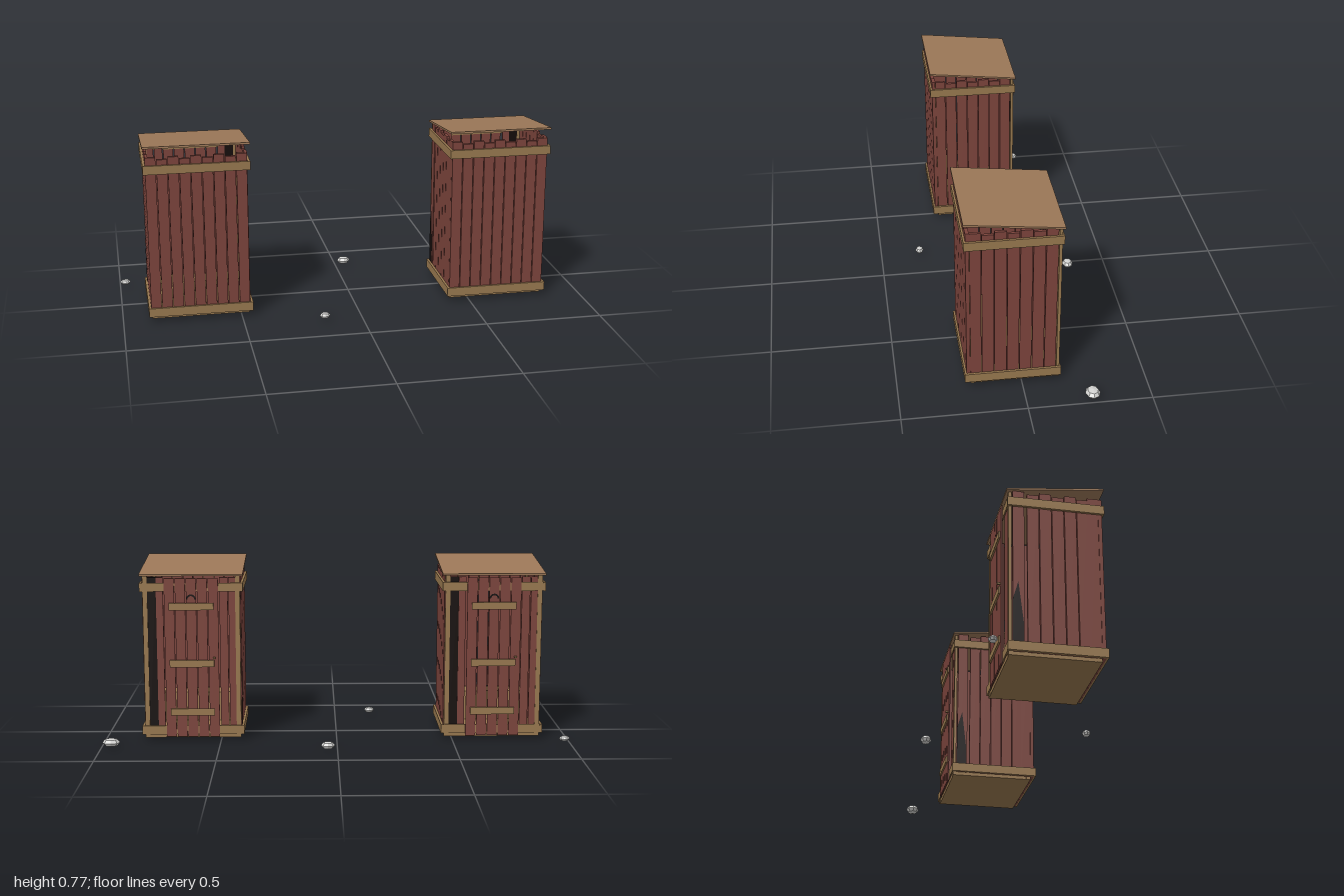
import * as THREE from 'three';

const mat = (name, color) => {
  const m = new THREE.MeshStandardMaterial({ color });
  m.name = name;
  return m;
};

export function createModel() {
  const red = mat('red boards', 0x7c443c);
  const tan = mat('tan trim', 0x98784f);
  const roofMat = mat('roof wood', 0x9c7858);
  const dark = mat('dark interior', 0x140c0a);
  const stone = mat('pale stone', 0xd2d2d0);
  const model = new THREE.Group();
  model.name = 'shedsAndStones';

  // Box given by its min and max corners
  const block = (parent, name, m, x0, x1, y0, y1, z0, z1) => {
    const mesh = new THREE.Mesh(new THREE.BoxGeometry(x1 - x0, y1 - y0, z1 - z0), m);
    mesh.position.set((x0 + x1) / 2, (y0 + y1) / 2, (z0 + z1) / 2);
    mesh.name = name;
    parent.add(mesh);
    return mesh;
  };

  function shed(cx) {
    const g = new THREE.Group();
    g.name = 'shed';
    g.position.x = cx;
    model.add(g);

    block(g, 'floor', tan, -0.205, 0.205, 0.012, 0.03, -0.15, 0.207);

    // Corner posts
    for (const s of [-1, 1]) {
      const x0 = s < 0 ? -0.207 : 0.187, x1 = x0 + 0.02;
      block(g, 'frontPost', tan, x0, x1, 0.012, 0.71, 0.187, 0.206);
      block(g, 'backPost', tan, x0, x1, 0.012, 0.715, -0.152, -0.14);
    }

    // Front boards with narrow gaps
    for (let i = 0; i < 9; i++) {
      const x = -0.21 + i * 0.0467;
      block(g, 'frontBoard', red, x, x + 0.0435, 0.027, i % 2 ? 0.71 : 0.72, 0.207, 0.222);
    }

    // Side boards with alternating heights
    const edges = [0.206, 0.16, 0.11, 0.06, 0.01, -0.04, -0.09, -0.139];
    for (const s of [-1, 1]) {
      for (let i = 0; i < 7; i++) {
        const x0 = s < 0 ? -0.21 : 0.198;
        const shift = s < 0 && i > 0 && i < 6 ? 0.008 : 0;
        block(g, 'sideBoard', red, x0, x0 + 0.012, 0.027, i % 2 ? 0.71 : 0.72,
          edges[i + 1] + 0.003 + shift, edges[i] + shift);
      }
    }

    // Trim bands around top and bottom
    for (const [y0, y1] of [[0.027, 0.065], [0.65, 0.687]]) {
      block(g, 'frontBand', tan, -0.22, 0.22, y0, y1, 0.222, 0.23);
      block(g, 'backBand', tan, -0.215, 0.215, y0, y1, -0.157, -0.152);
      for (const s of [-1, 1]) {
        const x0 = s < 0 ? -0.22 : 0.21;
        block(g, 'sideBand', tan, x0, x0 + 0.01, y0, y1, -0.158, 0.23);
      }
    }

    // Back wall beside the door: boards and shadowed openings
    block(g, 'backBoard', red, 0.12, 0.15, 0.03, 0.71, -0.15, -0.14);
    block(g, 'backOpening', dark, 0.15, 0.187, 0.03, 0.71, -0.147, -0.141);
    block(g, 'backBoard', red, -0.155, -0.12, 0.03, 0.71, -0.15, -0.14);
    block(g, 'backBoard', red, -0.187, -0.159, 0.03, 0.71, -0.15, -0.14);

    // Pointed dark patch on one side wall
    const tri = new THREE.Shape([
      new THREE.Vector2(-0.138, 0.066), new THREE.Vector2(-0.095, 0.066),
      new THREE.Vector2(-0.095, 0.15), new THREE.Vector2(-0.115, 0.32),
      new THREE.Vector2(-0.138, 0.24),
    ]);
    const patch = new THREE.Mesh(new THREE.ShapeGeometry(tri), dark);
    patch.rotation.y = -Math.PI / 2;
    patch.position.x = -0.2115;
    patch.name = 'sidePatch';
    g.add(patch);

    // Bench inside
    block(g, 'bench', tan, -0.19, 0.19, 0.03, 0.16, 0.09, 0.187);

    // Door with boards, battens, handle and curved cutout
    const door = new THREE.Group();
    door.name = 'door';
    g.add(door);
    for (let i = 0; i < 5; i++) {
      const x = -0.115 + i * 0.0467;
      block(door, 'doorBoard', red, x, x + 0.0425, 0.018, 0.708, -0.163, -0.157);
    }
    for (const y of [0.128, 0.34, 0.587]) {
      block(door, 'batten', tan, -0.095, 0.095, y - 0.015, y + 0.015, -0.17, -0.163);
    }
    block(door, 'handle', tan, -0.1, -0.09, 0.362, 0.369, -0.176, -0.163);
    const arch = new THREE.Mesh(new THREE.RingGeometry(0.014, 0.021, 12, 1, 0, Math.PI), dark);
    arch.rotation.y = Math.PI;
    arch.position.set(0, 0.618, -0.1642);
    arch.name = 'doorCutout';
    door.add(arch);

    // Sloping roof
    const roof = block(g, 'roof', roofMat, -0.22, 0.22, 0.738, 0.746, -0.162, 0.232);
    roof.rotation.x = -Math.atan2(0.043, 0.39);
  }
  shed(-0.672);
  shed(0.62);

  // Scattered stones
  for (const [x, z, r, h] of [
    [-0.977, -0.23, 0.023, 0.012], [0.04, -0.33, 0.03, 0.017],
    [0.96, -0.265, 0.038, 0.019], [-0.16, 0.325, 0.023, 0.014],
  ]) {
    const geo = new THREE.SphereGeometry(1, 8, 4).toNonIndexed();
    geo.computeVertexNormals();
    const rock = new THREE.Mesh(geo, stone);
    rock.scale.set(r, h, r * 0.8);
    rock.position.set(x, 0.02, z);
    rock.name = 'stone';
    model.add(rock);
  }
  return model;
}
